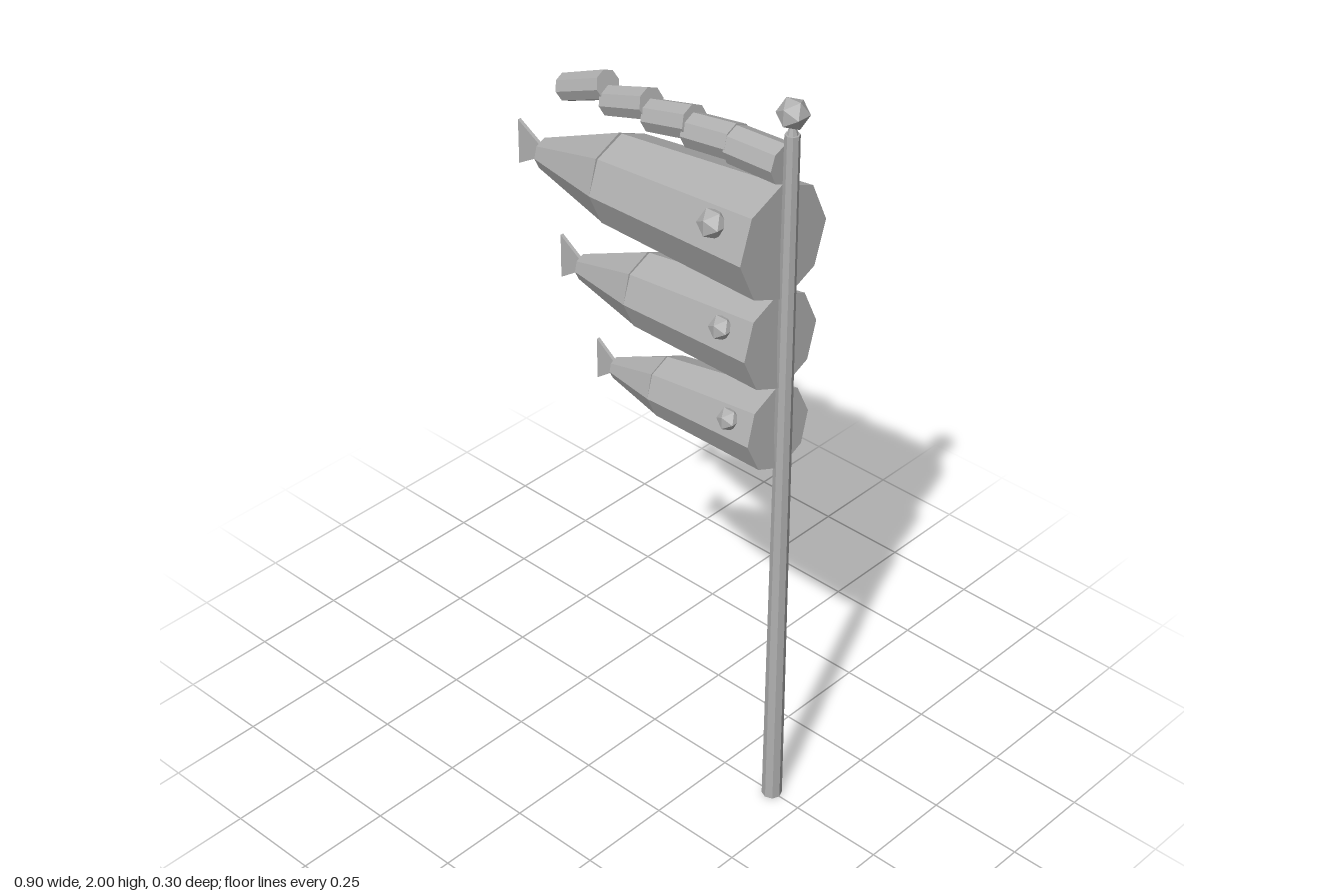
import * as THREE from 'three';

const grey = new THREE.MeshStandardMaterial({ color: 0xb0b0b0, flatShading: true });
grey.name = 'plain grey';

function add(parent, name, geometry, x = 0, y = 0, z = 0) {
  const mesh = new THREE.Mesh(geometry, grey);
  mesh.name = name;
  mesh.position.set(x, y, z);
  parent.add(mesh);
  return mesh;
}

// Eight-sided tapered tube between two points [x, y, radius], first point at the mouth side
function tube(parent, name, [ax, ay, ar], [bx, by, br]) {
  const geometry = new THREE.CylinderGeometry(ar, br, Math.hypot(ax - bx, ay - by), 8);
  const mesh = add(parent, name, geometry, (ax + bx) / 2, (ay + by) / 2);
  mesh.rotation.z = Math.atan2(ay - by, ax - bx) - Math.PI / 2;
  return mesh;
}

// Thin tail fin that narrows toward the body
function finGeometry(length, half) {
  const shape = new THREE.Shape();
  shape.moveTo(0.012, 0);
  shape.lineTo(-length, half);
  shape.lineTo(-length, -half);
  shape.closePath();
  const geometry = new THREE.ExtrudeGeometry(shape, { depth: 0.009, bevelEnabled: false });
  geometry.translate(0, 0, -0.0045);
  return geometry;
}

// Fish windsock: mouth, bend and tail sections, eye position with radius, fin size
const fish = [
  { name: 'largeFish', mouth: [0.396, 1.633, 0.146], bend: [-0.1, 1.604, 0.117], tail: [-0.36, 1.572, 0.04],
    eye: [0.288, 1.69, 0.118, 0.038], fin: [0.09, 0.06] },
  { name: 'middleFish', mouth: [0.396, 1.37, 0.125], bend: [-0.01, 1.337, 0.098], tail: [-0.235, 1.305, 0.034],
    eye: [0.303, 1.413, 0.1, 0.032], fin: [0.077, 0.06] },
  { name: 'smallFish', mouth: [0.396, 1.126, 0.107], bend: [0.05, 1.088, 0.08], tail: [-0.127, 1.06, 0.028],
    eye: [0.318, 1.16, 0.086, 0.03], fin: [0.065, 0.057] },
];

// Streamer links: centre x, centre y, length, tilt in degrees, radius
const links = [
  [0.323, 1.831, 0.145, 2, 0.05],
  [0.186, 1.825, 0.138, 8, 0.046],
  [0.058, 1.821, 0.135, 13, 0.043],
  [-0.077, 1.814, 0.138, 17, 0.04],
  [-0.218, 1.805, 0.148, 22, 0.037],
];

export function createModel() {
  const model = new THREE.Group();
  model.name = 'fishWindsockPole';

  // Pole and finial
  add(model, 'pole', new THREE.CylinderGeometry(0.018, 0.026, 1.915, 8), 0.412, 0.9575, 0);
  add(model, 'finialNeck', new THREE.CylinderGeometry(0.006, 0.014, 0.03, 8), 0.412, 1.928, 0);
  add(model, 'finialBall', new THREE.IcosahedronGeometry(0.039, 0), 0.412, 1.966, 0);

  // Streamer: links curling upward, each tilted more than the last
  const streamer = new THREE.Group();
  streamer.name = 'streamer';
  model.add(streamer);
  for (const [x, y, length, tilt, r] of links) {
    const a = THREE.MathUtils.degToRad(tilt);
    const dx = Math.cos(a) * length / 2, dy = Math.sin(a) * length / 2;
    tube(streamer, 'streamerLink', [x + dx, y + dy, r], [x - dx, y - dy, r - 0.002]);
  }

  // Fish windsocks
  for (const f of fish) {
    const group = new THREE.Group();
    group.name = f.name;
    model.add(group);
    tube(group, 'body', f.mouth, f.bend);
    tube(group, 'tailTaper', f.bend, f.tail);
    add(group, 'tailFin', finGeometry(...f.fin), f.tail[0], f.tail[1], 0);
    const [x, y, z, r] = f.eye;
    for (const side of [1, -1]) {
      add(group, side > 0 ? 'frontEye' : 'backEye', new THREE.IcosahedronGeometry(r, 0), x, y, side * z);
    }
  }
  return model;
}
